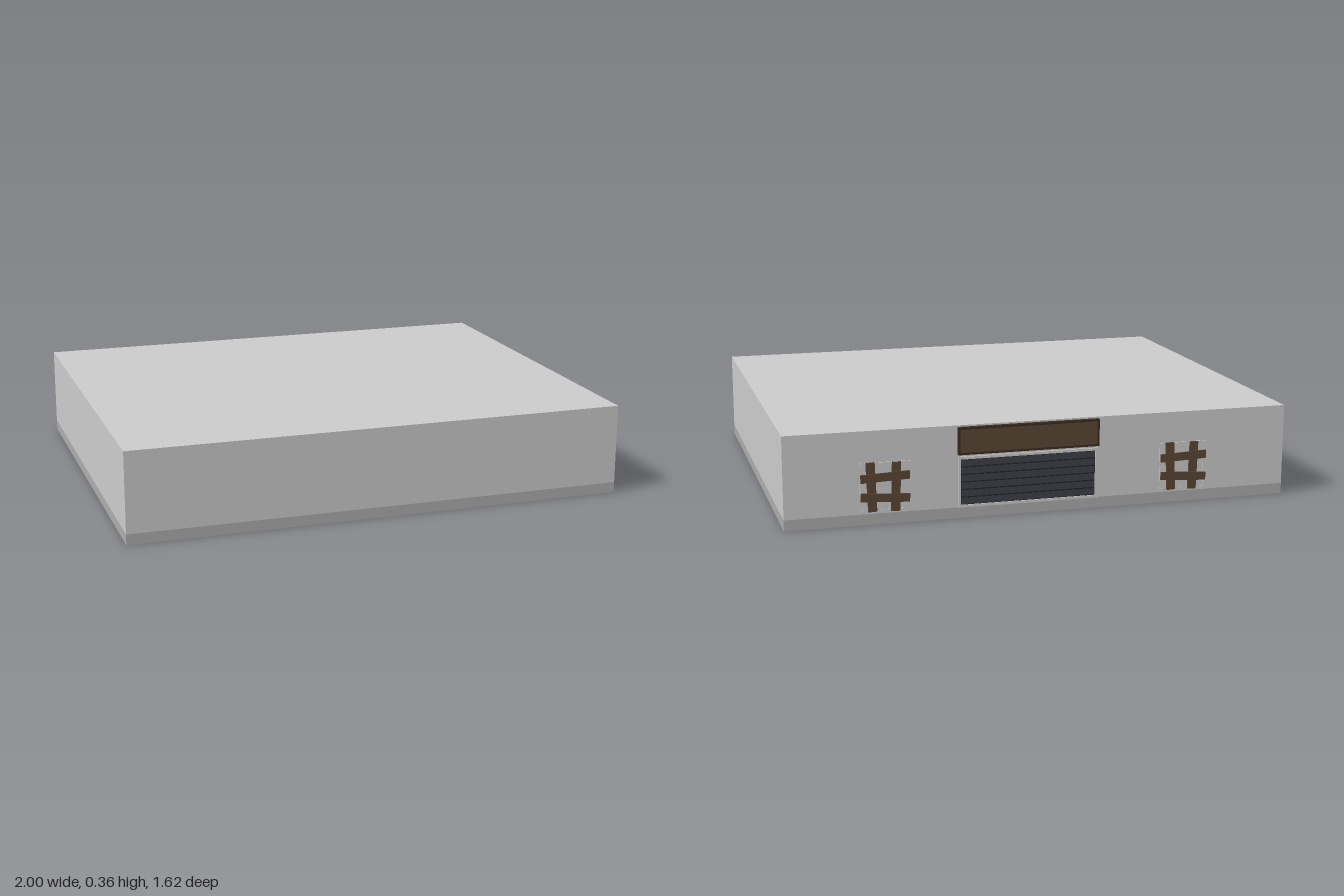
import * as THREE from 'three';

const material = (color) => new THREE.MeshStandardMaterial({ color });
const grey = material(0xcccccc);
const plinthGrey = material(0xadadad);
const slate = material(0x3a3d44);
const darkSlate = material(0x25272c);
const wood = material(0x5a4632);
const darkWood = material(0x3b2c1e);

const WALL = -0.79; // back wall plane that carries the details

// Box given by its ranges on each axis
function block(parent, name, mat, x0, x1, y0, y1, z0, z1) {
  const mesh = new THREE.Mesh(new THREE.BoxGeometry(x1 - x0, y1 - y0, z1 - z0), mat);
  mesh.position.set((x0 + x1) / 2, (y0 + y1) / 2, (z0 + z1) / 2);
  mesh.name = name;
  parent.add(mesh);
  return mesh;
}

// Four thin bars around a rectangle on the back wall
function frame(parent, name, mat, x0, x1, y0, y1, t, z0, z1) {
  block(parent, name, mat, x0, x1, y1 - t, y1, z0, z1);
  block(parent, name, mat, x0, x1, y0, y0 + t, z0, z1);
  block(parent, name, mat, x0, x0 + t, y0 + t, y1 - t, z0, z1);
  block(parent, name, mat, x1 - t, x1, y0 + t, y1 - t, z0, z1);
}

// Window closed by crossed planks
function boardedWindow(x) {
  const g = new THREE.Group();
  g.name = 'boardedWindow';
  block(g, 'windowPane', grey, x - 0.09, x + 0.09, 0.055, 0.235, WALL - 0.002, WALL);
  frame(g, 'windowFrame', grey, x - 0.095, x + 0.095, 0.05, 0.24, 0.008, WALL - 0.004, WALL);
  // Uprights: x offset, centre height, tilt
  for (const [dx, y, tilt] of [[-0.042, 0.145, 0.03], [0.052, 0.147, -0.04]]) {
    const plank = block(g, 'uprightPlank', wood, x + dx - 0.017, x + dx + 0.017,
      y - 0.095, y + 0.095, WALL - 0.011, WALL - 0.003);
    plank.rotation.z = tilt;
  }
  // Cross planks: centre height, tilt
  for (const [y, tilt] of [[0.105, 0.06], [0.185, -0.04]]) {
    const plank = block(g, 'crossPlank', wood, x - 0.094, x + 0.094,
      y - 0.016, y + 0.016, WALL - 0.016, WALL - 0.01);
    plank.rotation.z = tilt;
  }
  return g;
}

// Roller shutter with slightly tilted slats
function shutterDoor() {
  const g = new THREE.Group();
  g.name = 'shutterDoor';
  const x0 = -0.22, x1 = 0.335, y0 = 0.042, y1 = 0.24, count = 6;
  frame(g, 'doorFrame', grey, x0, x1, y0, y1, 0.01, WALL - 0.007, WALL);
  block(g, 'shutterBacking', darkSlate, x0 + 0.01, x1 - 0.01, y0 + 0.01, y1 - 0.01, WALL - 0.002, WALL);
  const step = (y1 - y0 - 0.02) / count;
  for (let i = 0; i < count; i++) {
    const y = y0 + 0.01 + i * step;
    const slat = block(g, 'shutterSlat', slate, x0 + 0.012, x1 - 0.012,
      y + 0.003, y + step - 0.003, WALL - 0.005, WALL - 0.002);
    slat.rotation.x = 0.08;
  }
  return g;
}

// Blank wooden board above the door, with a dark rim
function signBoard() {
  const g = new THREE.Group();
  g.name = 'signBoard';
  block(g, 'signPanel', wood, -0.215, 0.33, 0.256, 0.35, WALL - 0.015, WALL);
  frame(g, 'signRim', darkWood, -0.222, 0.337, 0.25, 0.356, 0.008, WALL - 0.018, WALL);
  return g;
}

export function createModel() {
  const model = new THREE.Group();
  model.name = 'building';
  block(model, 'plinth', plinthGrey, -1, 1, 0, 0.042, WALL, 0.808);
  block(model, 'walls', grey, -1, 1, 0.042, 0.362, WALL, 0.808);
  model.add(shutterDoor(), signBoard(), boardedWindow(-0.572), boardedWindow(0.618));
  return model;
}
